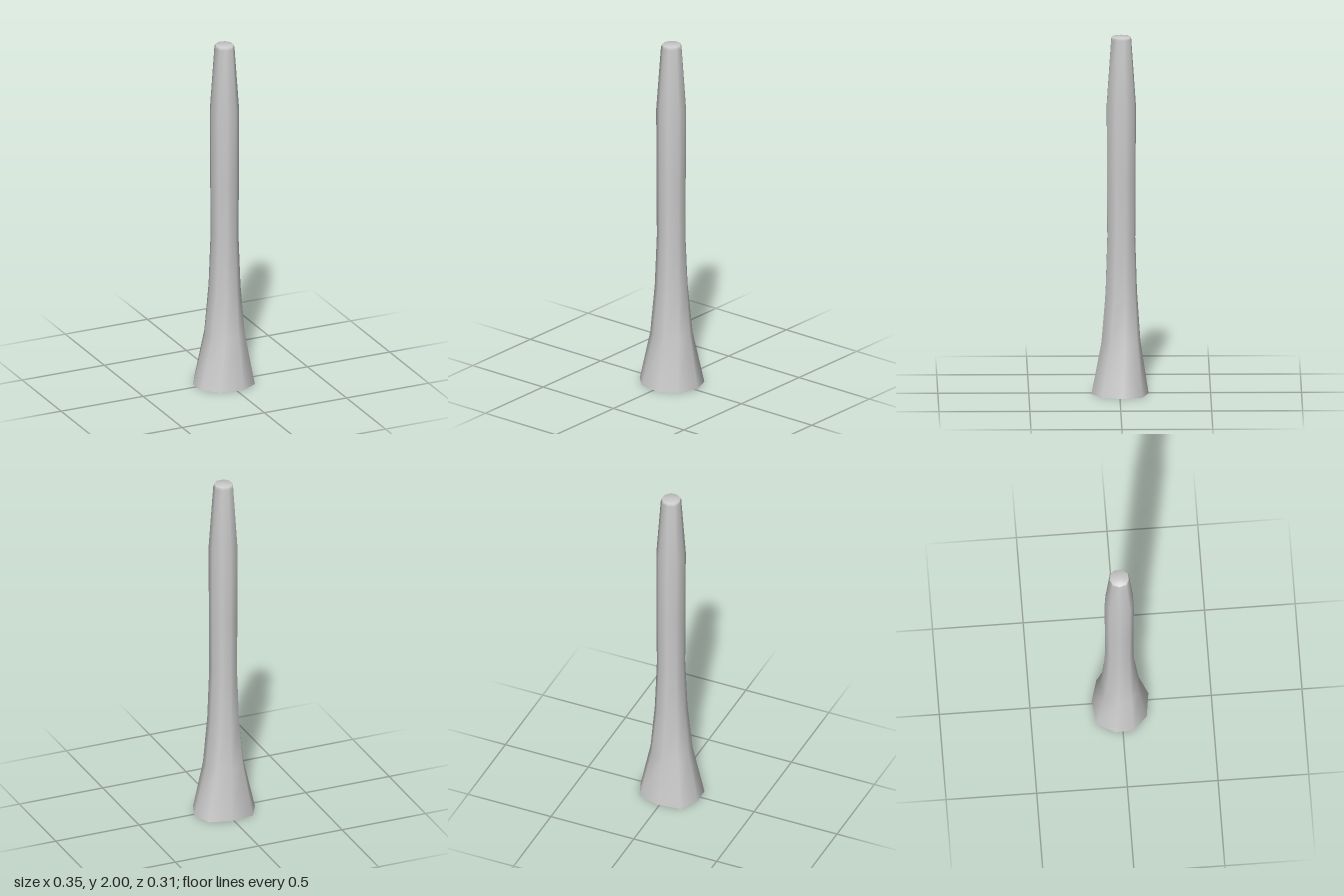
import * as THREE from 'three';

// Irregular nine-sided outlines [x, z], counter-clockwise seen from above
const BASE = [[0.176, -0.017], [0.135, -0.124], [0.013, -0.159], [-0.121, -0.143], [-0.177, -0.04],
  [-0.174, 0.06], [-0.095, 0.137], [0.038, 0.156], [0.131, 0.102]];
const NECK = [[0.075, -0.033], [0.04, -0.08], [-0.012, -0.089], [-0.062, -0.066], [-0.081, -0.01],
  [-0.067, 0.047], [-0.024, 0.071], [0.032, 0.07], [0.073, 0.022]];
const CENTRE = [-0.003, -0.008];

// Each ring: height, share of the flared base outline, scale about the neck's centre
const RINGS = [
  [0, 1, 1],
  [0.29, 0.36, 1],
  [0.57, 0.09, 1],
  [0.87, 0, 0.96],
  [1.2, 0, 0.99],
  [1.62, 0, 1],
  [1.985, 0, 0.69],
  [2, 0, 0.62],
];

function createColumnGeometry() {
  const n = BASE.length;
  const positions = [];
  const index = [];
  for (const [y, flare, scale] of RINGS) {
    for (let i = 0; i < n; i++) {
      const [x, z] = [0, 1].map((k) => {
        const p = THREE.MathUtils.lerp(NECK[i][k], BASE[i][k], flare);
        return CENTRE[k] + (p - CENTRE[k]) * scale;
      });
      positions.push(x, y, z);
    }
  }
  // Side walls between neighbouring rings
  for (let r = 0; r < RINGS.length - 1; r++) {
    for (let i = 0; i < n; i++) {
      const j = (i + 1) % n;
      const a = r * n + i, b = r * n + j;
      index.push(a, b, b + n, a, b + n, a + n);
    }
  }
  // Cap sharing the top ring, so it shades as a soft dome
  const top = (RINGS.length - 1) * n;
  positions.push(CENTRE[0], 2, CENTRE[1]);
  for (let i = 0; i < n; i++) index.push(top + i, top + (i + 1) % n, top + n);

  const geometry = new THREE.BufferGeometry();
  geometry.setAttribute('position', new THREE.Float32BufferAttribute(positions, 3));
  geometry.setIndex(index);
  geometry.computeVertexNormals();
  return geometry;
}

export function createModel() {
  const group = new THREE.Group();
  group.name = 'flaredColumn';
  // Hollow shell, open at the bottom
  const material = new THREE.MeshStandardMaterial({ color: 0xcccccc, side: THREE.DoubleSide });
  const column = new THREE.Mesh(createColumnGeometry(), material);
  column.name = 'columnShell';
  group.add(column);
  return group;
}
